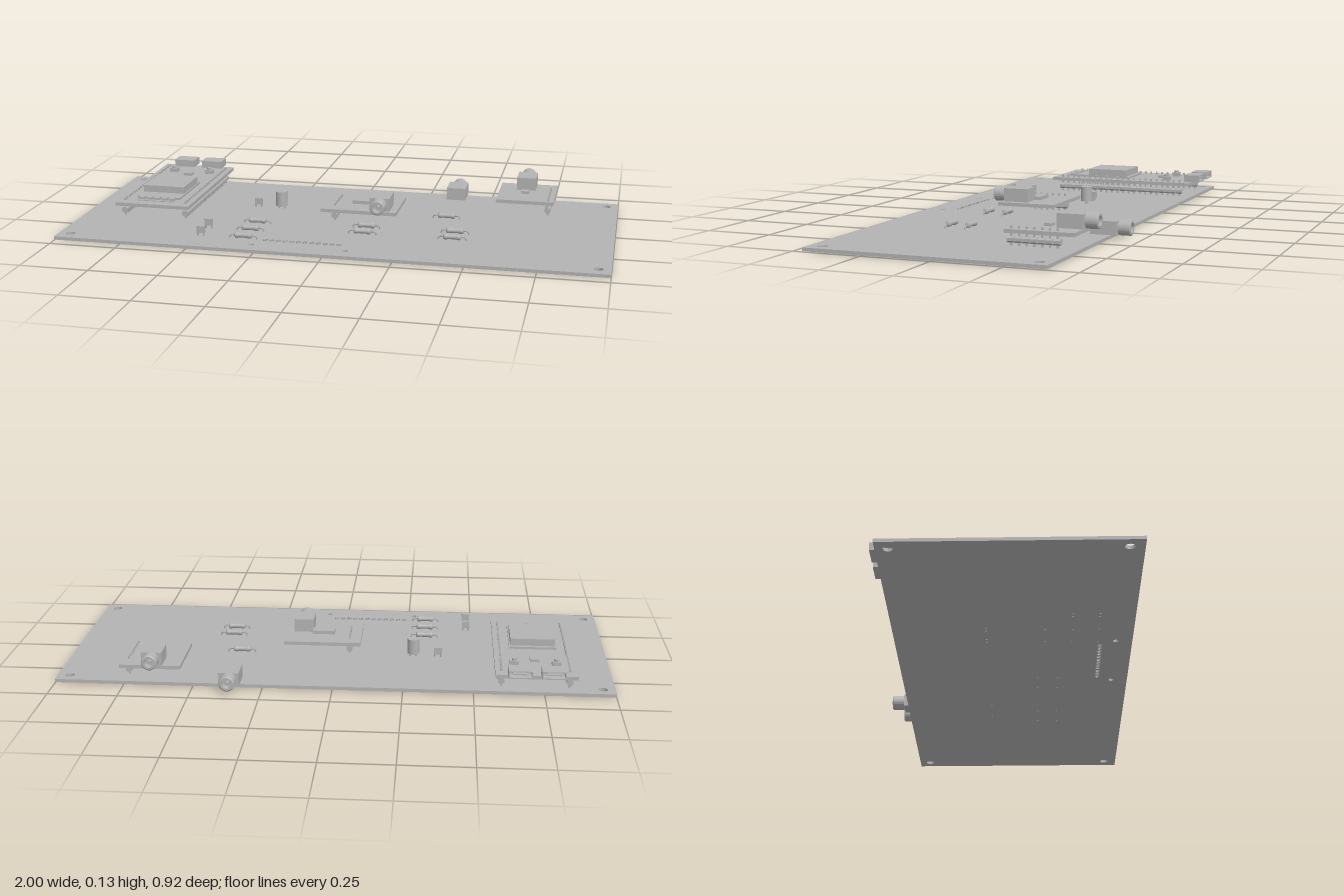
import * as THREE from 'three';

const grey = new THREE.MeshStandardMaterial({ color: 0xb3b3b3 });
grey.name = 'plain grey';

function add(parent, name, geo, x = 0, y = 0, z = 0) {
  const mesh = new THREE.Mesh(geo, grey);
  mesh.name = name;
  mesh.position.set(x, y, z);
  parent.add(mesh);
  return mesh;
}

// Box given by its ranges on each axis
function block(parent, name, x0, x1, y0, y1, z0, z1) {
  return add(parent, name, new THREE.BoxGeometry(x1 - x0, y1 - y0, z1 - z0),
    (x0 + x1) / 2, (y0 + y1) / 2, (z0 + z1) / 2);
}

function group(parent, name, x = 0, y = 0, z = 0) {
  const g = new THREE.Group();
  g.name = name;
  g.position.set(x, y, z);
  parent.add(g);
  return g;
}

// Flat plate with round holes [x, z, radius]
function plate(parent, name, x0, x1, y0, y1, z0, z1, holes) {
  const s = new THREE.Shape([[x0, -z1], [x1, -z1], [x1, -z0], [x0, -z0]].map(p => new THREE.Vector2(...p)));
  for (const [x, z, r] of holes) s.holes.push(new THREE.Path().absarc(x, -z, r, 0, Math.PI * 2, true));
  const geo = new THREE.ExtrudeGeometry(s, { depth: y1 - y0, bevelEnabled: false, curveSegments: 10 });
  geo.rotateX(-Math.PI / 2);
  return add(parent, name, geo, 0, y0, 0);
}

// Pin row along z: chamfered spacers below the daughter board, square pins through it
function pinRow(parent, x, z0, z1, count) {
  const row = group(parent, 'pinHeader');
  const pitch = (z1 - z0) / (count - 1);
  const c = 0.006, w = 0.011;
  const outline = [[-w, -w + c], [-w + c, -w], [w - c, -w], [w, -w + c], [w, w - c], [w - c, w], [-w + c, w], [-w, w - c]];
  const spacer = new THREE.ExtrudeGeometry(new THREE.Shape(outline.map(p => new THREE.Vector2(...p))),
    { depth: pitch * 0.9, bevelEnabled: false });
  spacer.translate(0, 0, -pitch * 0.45);
  const pin = new THREE.BoxGeometry(0.006, 0.066, 0.006);
  for (let i = 0; i < count; i++) {
    const z = z0 + i * pitch;
    add(row, 'headerSpacer', spacer, x, 0.041, z);
    add(row, 'headerPin', pin, x, 0.053, z);
  }
}

// Coaxial socket: square body with a hollow barrel, dir is the z direction it points to
function coax(parent, x, y0, y1, zBack, zFace, dir, barrelY) {
  const g = group(parent, 'coaxConnector');
  block(g, 'connectorBody', x - 0.037, x + 0.037, y0, y1, Math.min(zBack, zFace), Math.max(zBack, zFace));
  const profile = [[0, 0.018], [0.017, 0.018], [0.017, 0.047], [0.024, 0.047], [0.028, 0.044], [0.028, 0.002], [0.022, 0]];
  const geo = new THREE.LatheGeometry(profile.reverse().map(p => new THREE.Vector2(...p)), 24).toNonIndexed();
  geo.computeVertexNormals();
  geo.rotateX(dir * Math.PI / 2);
  add(g, 'connectorBarrel', geo, x, barrelY, zFace).material = grey;
  const core = new THREE.CylinderGeometry(0.006, 0.006, 0.03, 10).rotateX(Math.PI / 2);
  add(g, 'connectorCore', core, x, barrelY, zFace + dir * 0.027);
}

// Axial resistor: waisted body with bent leads
function resistor(parent, x, z) {
  const g = group(parent, 'resistor', x, 0, z);
  const pts = [[0, -0.032], [0.008, -0.032], [0.011, -0.028], [0.011, -0.019], [0.009, -0.016],
    [0.009, 0.016], [0.011, 0.019], [0.011, 0.028], [0.008, 0.032], [0, 0.032]];
  const body = new THREE.LatheGeometry(pts.map(p => new THREE.Vector2(...p)), 16).rotateZ(Math.PI / 2);
  add(g, 'resistorBody', body, 0, 0.027, 0);
  for (const s of [-1, 1]) {
    const path = new THREE.CatmullRomCurve3([[0.03, 0.027], [0.044, 0.027], [0.05, 0.022], [0.05, 0.001]]
      .map(([a, b]) => new THREE.Vector3(s * a, b, 0)));
    add(g, 'resistorLead', new THREE.TubeGeometry(path, 10, 0.003, 6), 0, 0, 0);
  }
}

// Small upright capacitor on two legs
function diskCapacitor(parent, x, z) {
  const g = group(parent, 'smallCapacitor', x, 0, z);
  block(g, 'capacitorBody', -0.015, 0.015, 0.026, 0.052, -0.006, 0.006);
  for (const s of [-1, 1]) add(g, 'capacitorLeg', new THREE.CylinderGeometry(0.003, 0.003, 0.027, 6), s * 0.011, 0.0135, 0);
}

function controllerModule(parent) {
  const g = group(parent, 'controllerModule');
  block(g, 'controllerBoard', -0.864, -0.575, 0.064, 0.077, -0.396, 0.195);
  pinRow(g, -0.838, -0.353, 0.158, 22);
  pinRow(g, -0.597, -0.353, 0.158, 22);
  // Radio unit with metal lid and edge contacts
  block(g, 'radioBase', -0.805, -0.633, 0.077, 0.085, -0.125, 0.115);
  block(g, 'radioLid', -0.8, -0.637, 0.085, 0.111, -0.11, 0.056);
  for (let i = 0; i < 5; i++) {
    const x = -0.779 + i * 0.03;
    block(g, 'smallChip', x - 0.01, x + 0.01, 0.077, 0.087, 0.119, 0.141);
  }
  block(g, 'contactStrip', -0.79, -0.65, 0.077, 0.08, 0.144, 0.153);
  // Two data sockets with open mouths, and two push buttons
  for (const s of [-1, 1]) {
    const x = -0.719 + s * 0.058;
    block(g, 'socketFloor', x - 0.042, x + 0.042, 0.077, 0.081, -0.43, -0.366);
    block(g, 'socketRoof', x - 0.042, x + 0.042, 0.101, 0.105, -0.43, -0.366);
    block(g, 'socketBack', x - 0.042, x + 0.042, 0.081, 0.101, -0.39, -0.366);
    for (const e of [-1, 1]) block(g, 'socketSide', x + e * 0.04 - 0.002, x + e * 0.04 + 0.002, 0.081, 0.101, -0.43, -0.39);
    block(g, 'socketTongue', x - 0.028, x + 0.028, 0.089, 0.093, -0.424, -0.39);
    const bx = -0.719 + s * 0.075;
    block(g, 'buttonBase', bx - 0.016, bx + 0.016, 0.077, 0.093, -0.298, -0.272);
    add(g, 'buttonCap', new THREE.CylinderGeometry(0.009, 0.009, 0.008, 16), bx, 0.097, -0.285);
  }
  block(g, 'statusLamp', -0.736, -0.702, 0.077, 0.088, -0.26, -0.23);
}

export function createModel() {
  const model = new THREE.Group();
  model.name = 'circuitBoard';

  // Main board with mounting holes and a row of plated holes
  const holes = [];
  for (const x of [-0.955, 0.955]) for (const z of [-0.352, 0.413]) holes.push([x, z, 0.017]);
  holes.push([-0.27, 0.402, 0.01], [0.073, 0.402, 0.01]);
  const row = Array.from({ length: 12 }, (_, i) => -0.233 + i * 0.0247);
  for (const x of row) holes.push([x, 0.346, 0.007]);
  plate(model, 'mainBoard', -1, 1, 0.003, 0.015, -0.395, 0.462, holes);
  const ring = new THREE.LatheGeometry([[0.006, 0], [0.009, 0], [0.009, 0.017], [0.006, 0.017], [0.006, 0]]
    .map(p => new THREE.Vector2(...p)), 10);
  for (const x of row) add(model, 'platedHole', ring, x, 0.001, 0.346);

  controllerModule(model);

  // Central receiver module
  const mid = group(model, 'centreModule');
  block(mid, 'centreBoard', -0.083, 0.202, 0.064, 0.077, -0.108, 0.112);
  pinRow(mid, -0.04, -0.061, 0.061, 6);
  block(mid, 'centreChip', 0.02, 0.104, 0.077, 0.09, -0.017, 0.024);
  coax(mid, 0.138, 0.077, 0.126, 0.006, 0.1, 1, 0.101);

  // Rear receiver module
  const rear = group(model, 'rearModule');
  block(rear, 'rearBoard', 0.543, 0.762, 0.064, 0.077, -0.395, -0.15);
  pinRow(rear, 0.74, -0.33, -0.168, 7);
  block(rear, 'rearChip', 0.63, 0.66, 0.077, 0.087, -0.278, -0.25);
  coax(rear, 0.645, 0.077, 0.126, -0.303, -0.395, -1, 0.103);

  // Socket on the edge of the main board
  coax(model, 0.367, 0.013, 0.063, -0.32, -0.415, -1, 0.039);

  // Loose components
  for (const [x, z] of [[-0.318, 0.148], [-0.318, 0.244], [-0.318, 0.338], [0.094, 0.121], [0.094, 0.197],
    [0.425, 0.121], [0.425, 0.197], [0.367, -0.062]]) resistor(model, x, z);
  for (const [x, z] of [[-0.479, 0.244], [-0.479, 0.338], [-0.372, -0.062]]) diskCapacitor(model, x, z);
  const can = group(model, 'canCapacitor', -0.28, 0, -0.062);
  add(can, 'canBody', new THREE.CylinderGeometry(0.022, 0.022, 0.057, 24), 0, 0.056, 0);
  for (const s of [-1, 1]) add(can, 'canLeg', new THREE.CylinderGeometry(0.003, 0.003, 0.03, 6), s * 0.011, 0.015, 0);

  return model;
}
